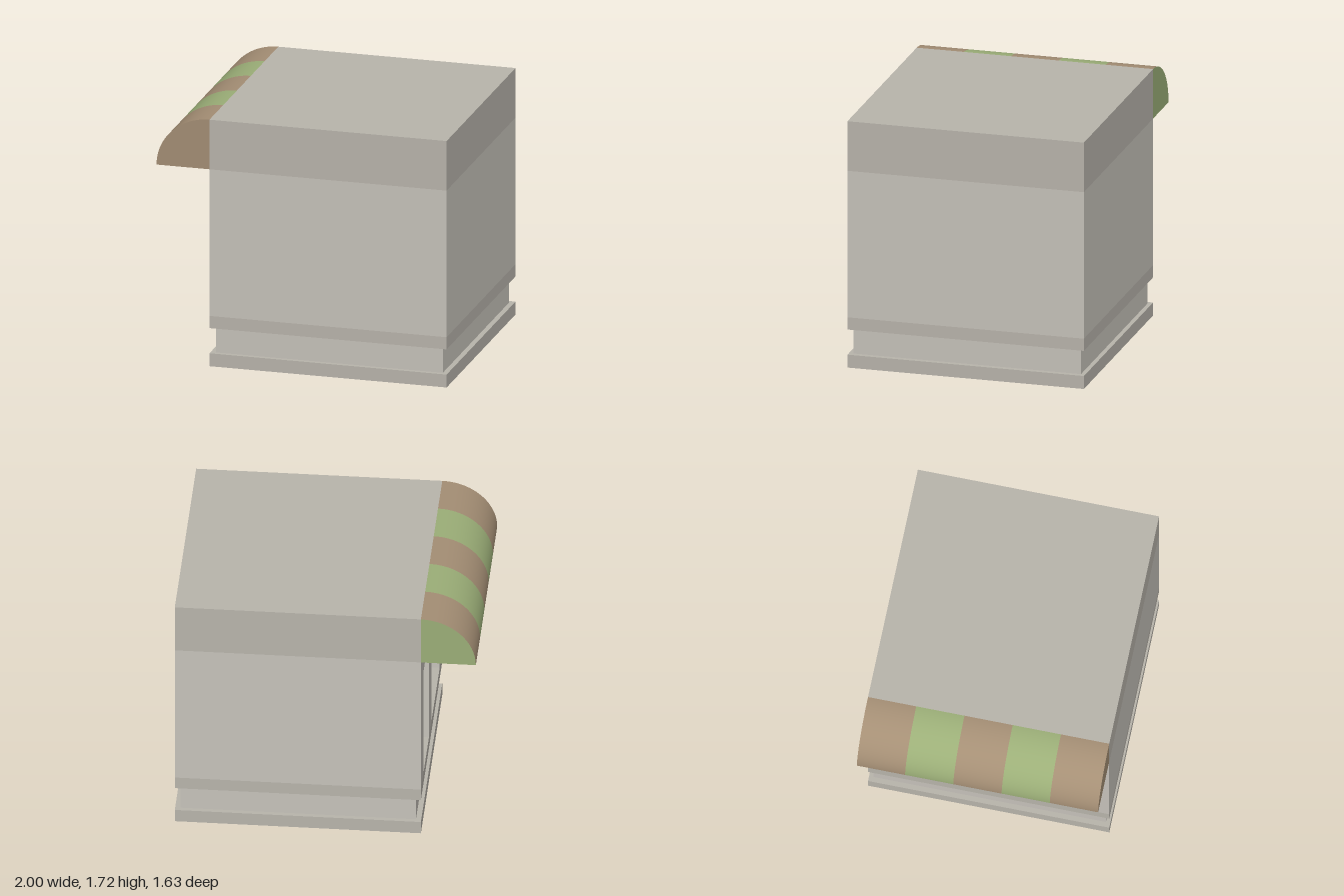
import * as THREE from 'three';

const X0 = -0.635, X1 = 1, Z = 0.815;      // body footprint
const TOP = 1.715, AWNING_Y = 1.37, SILL = 0.35, HEAD = 1.16, REVEAL = 0.16;
const OPENINGS = [[-0.62, -0.2], [-0.005, 0.62]]; // z ranges in the shop face

const paint = (color, side = THREE.FrontSide) => new THREE.MeshStandardMaterial({ color, side });

export function createModel() {
  const model = new THREE.Group();
  const wall = paint(0xc8c4bc), trim = paint(0xbab6ad), glass = paint(0xabbecb);
  const brown = paint(0xa58f75, THREE.DoubleSide), green = paint(0x9caf78, THREE.DoubleSide);

  const add = (name, geometry, material, parent = model) => {
    const mesh = new THREE.Mesh(geometry, material);
    mesh.name = name;
    parent.add(mesh);
    return mesh;
  };
  // Box given by its limits; z is symmetric
  const block = (name, x0, x1, y0, y1, z, material) =>
    add(name, new THREE.BoxGeometry(x1 - x0, y1 - y0, 2 * z), material)
      .position.set((x0 + x1) / 2, (y0 + y1) / 2, 0);

  // Stacked body: base slab, recessed plinth, lower band, wall, upper band
  block('baseSlab', X0, X1, 0, 0.09, Z, trim);
  block('plinth', X0 + 0.035, X1 - 0.035, 0.09, 0.265, Z - 0.03, wall);
  block('lowerBand', X0, X1, 0.265, SILL, Z, trim);
  block('wallCore', X0 + REVEAL, X1, SILL, AWNING_Y, Z, wall);
  block('upperBand', X0, X1, AWNING_Y, TOP, Z, trim);

  // Shop face: a thick wall notched by the openings (shape x runs along -z)
  const outline = [[-Z, SILL]];
  for (const [a, b] of [...OPENINGS].reverse()) {
    outline.push([-b, SILL], [-b, HEAD], [-a, HEAD], [-a, SILL]);
  }
  outline.push([Z, SILL], [Z, AWNING_Y], [-Z, AWNING_Y]);
  const face = new THREE.Shape(outline.map(([u, v]) => new THREE.Vector2(u, v)));
  const faceGeometry = new THREE.ExtrudeGeometry(face, { depth: REVEAL, bevelEnabled: false });
  faceGeometry.rotateY(Math.PI / 2);
  add('shopFace', faceGeometry, wall).position.x = X0;

  // Glass at the back of each opening
  for (const [a, b] of OPENINGS) {
    const pane = add('windowPane', new THREE.PlaneGeometry(b - a, HEAD - SILL), glass);
    pane.rotation.y = -Math.PI / 2;
    pane.position.set(X0 + REVEAL - 0.004, (SILL + HEAD) / 2, (a + b) / 2);
  }

  // Awning: quarter-round striped cover with closed ends and underside
  const awning = new THREE.Group();
  awning.name = 'awning';
  awning.position.set(X0, AWNING_Y, 0);
  model.add(awning);
  const rx = X0 + 1, ry = TOP - AWNING_Y, stripes = 5, width = 2 * Z / stripes;
  for (let i = 0; i < stripes; i++) {
    const g = new THREE.CylinderGeometry(1, 1, width, 24, 1, true, Math.PI, Math.PI / 2);
    g.rotateX(Math.PI / 2).scale(rx, ry, 1);
    add('awningStripe', g, i % 2 ? green : brown, awning).position.z = -Z + (i + 0.5) * width;
  }
  const frontEnd = new THREE.CircleGeometry(1, 24, Math.PI / 2, Math.PI / 2).scale(rx, ry, 1);
  add('awningFrontEnd', frontEnd, brown, awning).position.z = Z;
  const backEnd = new THREE.CircleGeometry(1, 24, 0, Math.PI / 2).rotateY(Math.PI).scale(rx, ry, 1);
  add('awningBackEnd', backEnd, green, awning).position.z = -Z;
  const under = new THREE.PlaneGeometry(rx, 2 * Z).rotateX(Math.PI / 2);
  add('awningUnderside', under, brown, awning).position.x = -rx / 2;

  return model;
}
